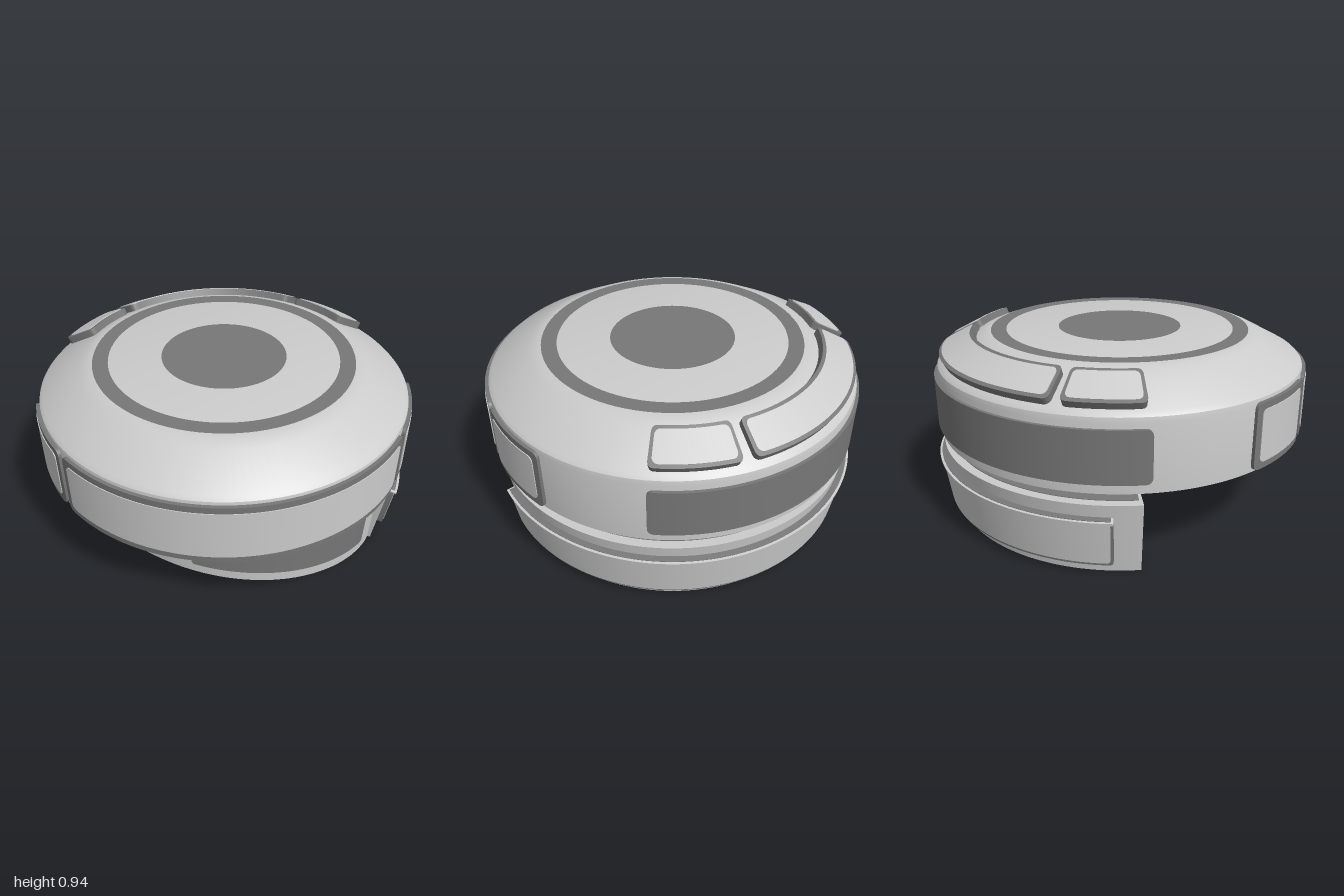
import * as THREE from 'three';
import { toCreasedNormals } from 'three/addons/utils/BufferGeometryUtils.js';

const grey = new THREE.MeshStandardMaterial({ color: 0xcccccc });
const dark = new THREE.MeshStandardMaterial({ color: 0x777777 });
const RAD = Math.PI / 180;

// Sweep a convex (r, y) cross-section around the y axis through the given angles (degrees).
function sweep(angles, section) {
  const rings = angles.map((a) => section(a).map(([r, y]) =>
    [r * Math.cos(a * RAD), y, r * Math.sin(a * RAD)]));
  const n = rings[0].length, index = [];
  for (let i = 0; i < rings.length - 1; i++) {
    for (let j = 0; j < n; j++) {
      const a = i * n + j, b = i * n + (j + 1) % n;
      index.push(a, b, b + n, a, b + n, a + n);
    }
  }
  const last = (rings.length - 1) * n;
  for (let j = 1; j < n - 1; j++) {
    index.push(0, j + 1, j, last, last + j, last + j + 1);
  }
  const geo = new THREE.BufferGeometry();
  geo.setAttribute('position', new THREE.Float32BufferAttribute(rings.flat(2), 3));
  geo.setIndex(index);
  return toCreasedNormals(geo, 0.5);
}

function steps(a0, a1, size = 2) {
  const n = Math.max(1, Math.ceil((a1 - a0) / size));
  return Array.from({ length: n + 1 }, (_, i) => a0 + (a1 - a0) * i / n);
}

// Angles with extra columns at both ends for rounded corners.
function cornerSteps(a0, a1, c) {
  const ends = [0, 0.08, 0.3, 0.6].map((t) => t * c);
  return [...ends.map((e) => a0 + e), ...steps(a0 + c, a1 - c), ...ends.reverse().map((e) => a1 - e)];
}

const block = (a0, a1, r0, r1, y0, y1) =>
  sweep(steps(a0, a1), () => [[r0, y0], [r1, y0], [r1, y1], [r0, y1]]);

// Rounded panel lying on a conical surface that runs from p to q in (r, y).
// lo and hi are distances along that surface; it spans the normal offsets n0 to n1.
function panel([p, q], a0, a1, lo, hi, n0, n1, corner = 0.03) {
  const len = Math.hypot(q[0] - p[0], q[1] - p[1]);
  const dr = (q[0] - p[0]) / len, dy = (q[1] - p[1]) / len;
  const at = (v, n) => [p[0] + dr * v + dy * n, p[1] + dy * v - dr * n];
  const low = typeof lo === 'function' ? lo : () => lo;
  return sweep(cornerSteps(a0, a1, corner / RAD), (a) => {
    const d = Math.min(corner, Math.min(a - a0, a1 - a) * RAD);
    const inset = corner - Math.sqrt(Math.max(0, corner ** 2 - (corner - d) ** 2));
    const v0 = low(a) + inset, v1 = Math.max(v0 + 0.001, hi - inset);
    return [at(v0, n0), at(v0, n1), at(v1, n1), at(v1, n0)];
  });
}

export function createModel() {
  const model = new THREE.Group();
  const add = (name, geo, mat = grey) => {
    const mesh = new THREE.Mesh(geo, mat);
    mesh.name = name;
    model.add(mesh);
    return mesh;
  };
  // Dark bezel with a lighter face inside it.
  const framed = (name, surf, a0, a1, lo, hi, n0, n1, border) => {
    const da = border / 0.95 / RAD;
    add(name + 'Frame', panel(surf, a0, a1, lo, hi, n0, n1), dark);
    add(name + 'Face', panel(surf, a0 + da, a1 - da, lo + border, hi - border, n0, n1 + 0.004));
  };

  // Upper drum with bevelled shoulder
  const profile = [[0, 0.43], [0.965, 0.43], [0.967, 0.76], [0.962, 0.785], [0.945, 0.803],
    [0.75, 0.906], [0.715, 0.921], [0.68, 0.929], [0, 0.93]].map(([r, y]) => new THREE.Vector2(r, y));
  add('drum', toCreasedNormals(new THREE.LatheGeometry(profile, 128), 0.5));

  // Flush dark inlays on the top and underside
  const inlay = (name, r0, r1, y, up) => {
    const m = add(name, new THREE.RingGeometry(r0, r1, 96), dark);
    m.rotation.x = up ? -Math.PI / 2 : Math.PI / 2;
    m.position.y = y;
  };
  inlay('topRing', 0.6, 0.68, 0.933, true);
  inlay('topDisc', 0, 0.325, 0.933, true);
  inlay('undersideRing', 0.26, 0.36, 0.427, false);
  inlay('undersideDisc', 0, 0.17, 0.427, false);

  // Panels around the drum wall
  const wall = [[0.965, 0], [0.965, 1]];
  framed('frontPanel', wall, 15, 126, 0.44, 0.77, -0.01, 0.018, 0.034);
  framed('leftPanel', wall, -13.5, 13.5, 0.44, 0.77, -0.01, 0.018, 0.034);
  framed('rightPanel', wall, 128, 155, 0.44, 0.77, -0.01, 0.018, 0.034);
  add('backPanel', panel(wall, 185, 315, 0.48, 0.735, -0.01, 0.018), dark);

  // Raised buttons on the shoulder
  const shoulder = [[0.945, 0.803], [0.75, 0.906]];
  for (const [name, a0, a1] of [['rightButton', 186, 209], ['backButton', 212, 286], ['leftButton', 289.5, 315]]) {
    framed(name, shoulder, a0, a1, 0.015, 0.215, -0.01, 0.038, 0.018);
  }

  // Helical ramp descending from the drum to the lower ring
  const rampY = (a) => Math.min(0.43, Math.max(0, (a - 15) * 0.0038));
  add('ramp', sweep(steps(11, 127), (a) => {
    const y = rampY(a);
    return [[0.56, y], [0.9 - 0.01 * (1 - y), y], [0.91, 0.435], [0.56, 0.435]];
  }));
  const rampWall = [[0.893, 0], [0.91, 0.435]];
  add('rampPanel', panel(rampWall, 22.5, 86, (a) => 0.1 + (a - 22.5) * 0.0037, 0.365, -0.01, 0.004, 0.02), dark);

  // Open lower ring
  add('lowerRing', sweep(steps(-173, 13), () => [[0.56, 0], [0.905, 0], [0.96, 0.37], [0.56, 0.37]]));
  add('ringTopBand', block(-172, 8, 0.6, 0.915, 0.365, 0.373), dark);
  add('ringInnerBand', block(-172, 12, 0.555, 0.57, 0.07, 0.22), dark);
  add('ringEndTab', block(-174, -172, 0.66, 0.8, 0.004, 0.21));

  // Tapered panel with a thin raised rim around the ring
  const ringWall = [[0.905, 0], [0.96, 0.37]];
  add('ringPanelRim', panel(ringWall, -165, 8.5, 0.058, 0.31, -0.01, 0.03, 0.02), dark);
  add('ringPanelFace', panel(ringWall, -164.2, 7.7, 0.072, 0.296, -0.01, 0.034, 0.02));
  add('ringPanelLip', panel(ringWall, -165, 8.5, 0.294, 0.308, 0, 0.042, 0.005));

  // Stepped stop under the drum
  add('stopUpper', block(195, 237, 0.58, 0.84, 0.41, 0.432));
  add('stopLower', block(199, 233, 0.6, 0.82, 0.39, 0.412));

  model.position.x = -0.008;
  const root = new THREE.Group();
  root.add(model);
  return root;
}
